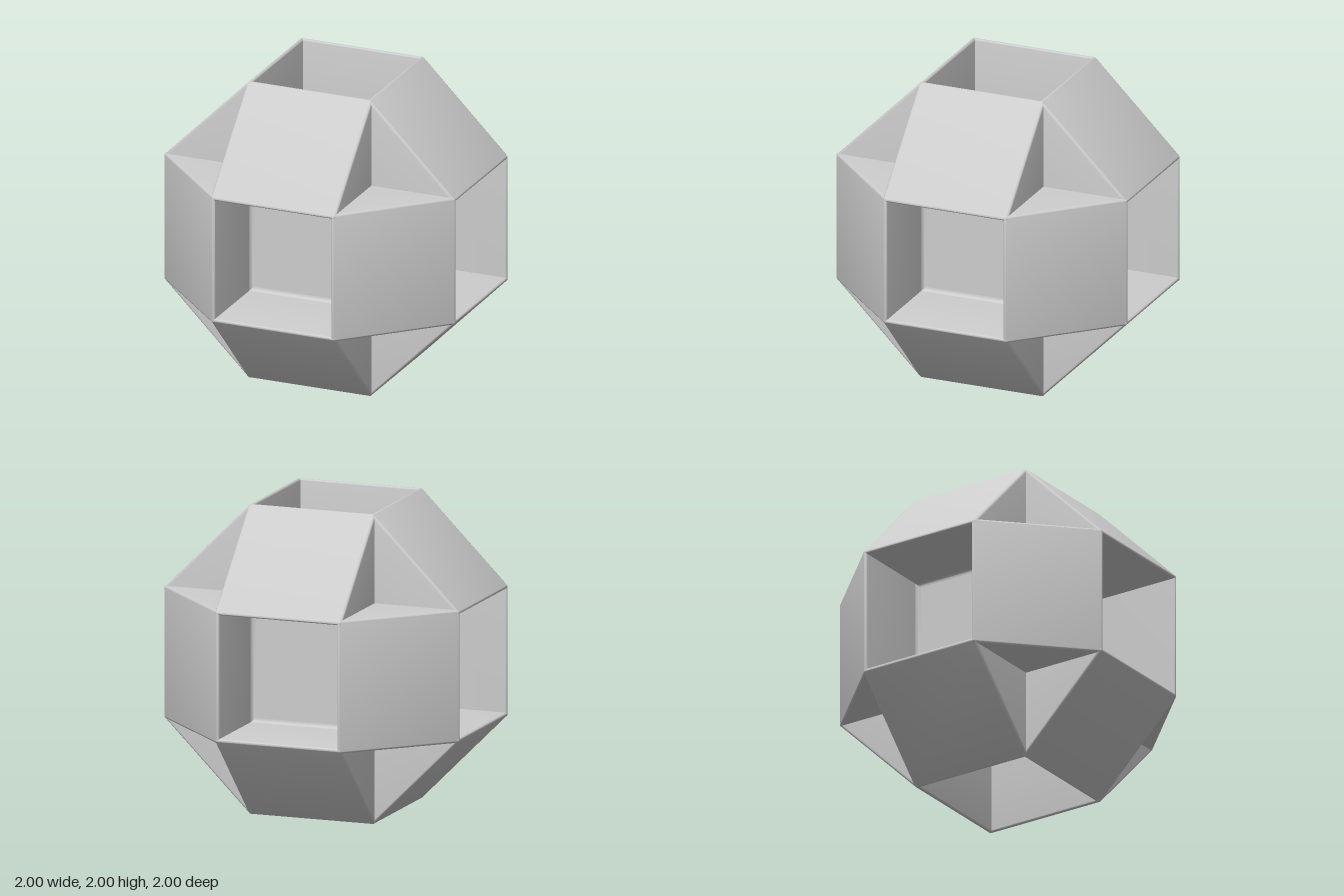
import * as THREE from 'three';
import { toCreasedNormals } from 'three/addons/utils/BufferGeometryUtils.js';

const IN = 0.4;        // half width of a square pocket
const OUT = 0.43;      // half length of a wedge, and pocket floor level
const RIM = 0.012;     // rounding of the pocket rims
const BEVEL = 0.016;   // rounding of the wedge ends
const FILLET = 0.025;  // rounding where pocket walls meet the floor

// Triangular wedge lying along z, with rounded rims and ends
function wedgeGeometry() {
  const profile = [[IN, IN]];
  const arc = (cx, cy, from, to) => {
    for (let i = 0; i <= 5; i++) {
      const a = THREE.MathUtils.degToRad(from + (to - from) * i / 5);
      profile.push([cx + RIM * Math.cos(a), cy + RIM * Math.sin(a)]);
    }
  };
  arc(IN + RIM, 1 - RIM, 180, 45);
  arc(1 - RIM, IN + RIM, 45, -90);

  // Sections from back to front: z and how far the sloped face is inset
  const half = [];
  for (let i = 0; i <= 4; i++) {
    const t = i / 4 * Math.PI / 2;
    half.push([OUT - BEVEL + BEVEL * Math.sin(t), BEVEL * (1 - Math.cos(t))]);
  }
  const sections = [...half.map(([z, d]) => [-z, d]).reverse(), ...half];

  const pos = [], index = [], n = profile.length;
  for (const [z, inset] of sections) {
    const s = 1 - inset / 0.434;
    for (const [x, y] of profile) pos.push(IN + (x - IN) * s, IN + (y - IN) * s, z);
  }
  for (let k = 0; k < sections.length - 1; k++) {
    for (let i = 0; i < n; i++) {
      const j = (i + 1) % n;
      const a = k * n + i, b = k * n + j, c = b + n, d = a + n;
      index.push(a, d, c, a, c, b);
    }
  }
  const last = (sections.length - 1) * n;
  for (let i = 1; i < n - 1; i++) {
    index.push(0, i, i + 1, last, last + i + 1, last + i);
  }
  const geo = new THREE.BufferGeometry();
  geo.setAttribute('position', new THREE.Float32BufferAttribute(pos, 3));
  geo.setIndex(index);
  return toCreasedNormals(geo.toNonIndexed(), 0.6);
}

// Square ring that rounds the bottom edge of a pocket facing +y
function filletGeometry() {
  const points = [];
  for (let i = 0; i <= 3; i++) {
    const t = i / 3 * Math.PI / 2;
    const r = IN - FILLET + FILLET * Math.sin(t);
    points.push(new THREE.Vector2(r * Math.SQRT2, OUT + FILLET * (1 - Math.cos(t))));
  }
  const geo = new THREE.LatheGeometry(points, 4, Math.PI / 4);
  return toCreasedNormals(geo.toNonIndexed(), 0.6);
}

export function createModel() {
  const model = new THREE.Group();
  model.name = 'pocketedPolyhedron';
  const grey = new THREE.MeshStandardMaterial({ color: 0xcccccc, side: THREE.DoubleSide });
  grey.name = 'lightGrey';

  const add = (parent, geo, name) => {
    const mesh = new THREE.Mesh(geo, grey);
    mesh.name = name;
    parent.add(mesh);
    return mesh;
  };

  const body = new THREE.Group();
  body.name = 'body';
  body.position.y = 1;
  model.add(body);

  // Core cube forms the pocket floors
  add(body, new THREE.BoxGeometry(OUT * 2, OUT * 2, OUT * 2), 'core');

  // Twelve wedges, four along each axis
  const wedge = wedgeGeometry();
  const axes = [['z', 0, 0], ['x', 0, Math.PI / 2], ['y', Math.PI / 2, 0]];
  for (const [axis, rx, ry] of axes) {
    const ring = new THREE.Group();
    ring.name = axis + 'Wedges';
    ring.rotation.set(rx, ry, 0);
    body.add(ring);
    for (let i = 0; i < 4; i++) add(ring, wedge, 'wedge').rotation.z = i * Math.PI / 2;
  }

  // Fillets in the six square pockets
  const fillet = filletGeometry();
  for (let i = 0; i < 4; i++) add(body, fillet, 'pocketFillet').rotation.x = i * Math.PI / 2;
  for (const s of [-1, 1]) add(body, fillet, 'pocketFillet').rotation.z = s * Math.PI / 2;

  return model;
}
